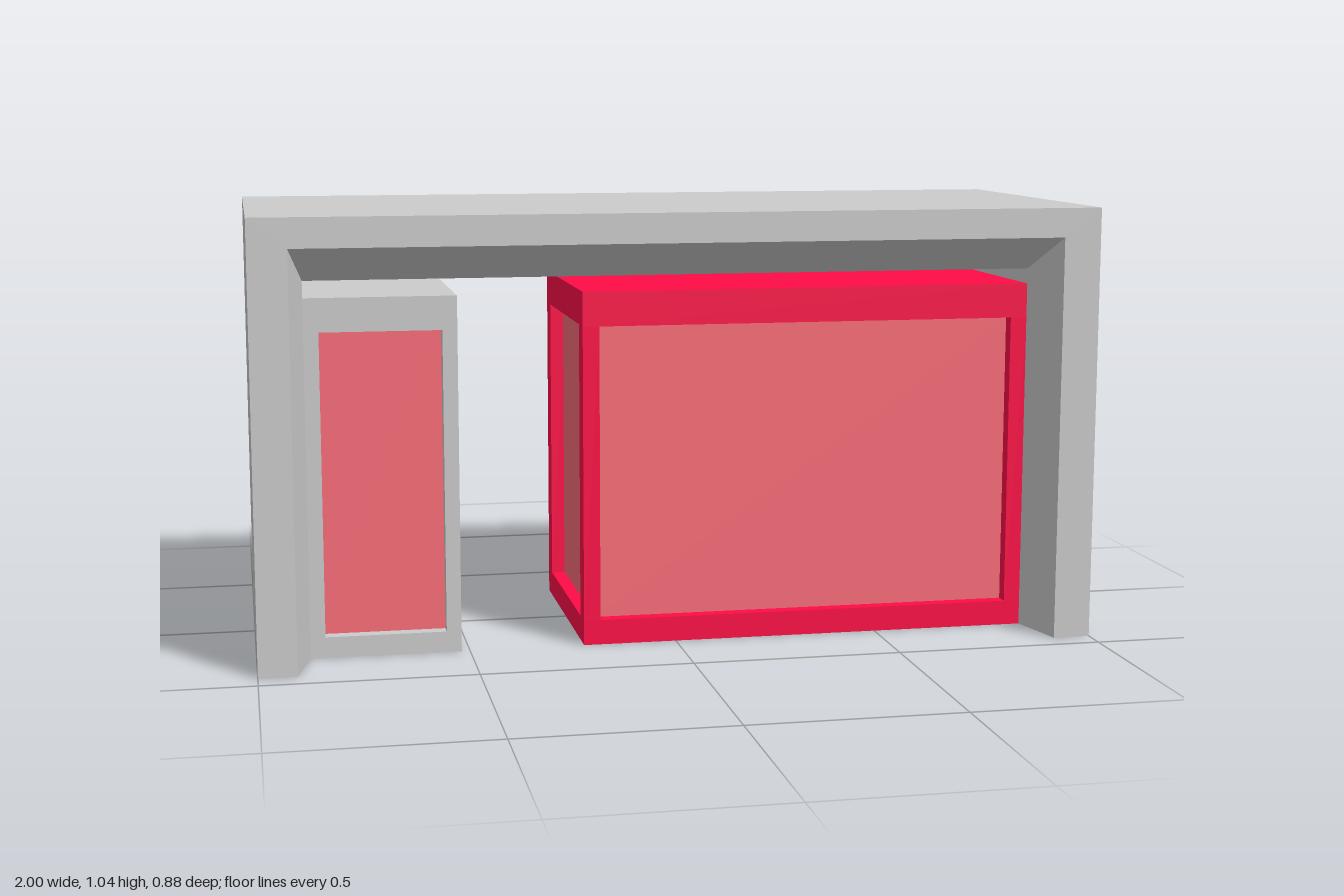
import * as THREE from 'three';

const grey = new THREE.MeshStandardMaterial({ color: 0xcccccc });
const red = new THREE.MeshStandardMaterial({ color: 0xff0c47 });
const pink = new THREE.MeshStandardMaterial({ color: 0xfb6d79 });

// Box given by its min and max corners
function box(name, material, [x0, y0, z0], [x1, y1, z1]) {
  const mesh = new THREE.Mesh(new THREE.BoxGeometry(x1 - x0, y1 - y0, z1 - z0), material);
  mesh.name = name;
  mesh.position.set((x0 + x1) / 2, (y0 + y1) / 2, (z0 + z1) / 2);
  return mesh;
}

// Arch-shaped shell: a closed loop of arch outlines, flared at both openings
function shellGeometry() {
  // half width, height, z
  const sections = [
    [1, 1.045, 0.44], [0.91, 0.975, 0.44], [0.875, 0.89, 0.29],
    [0.875, 0.89, -0.29], [0.91, 0.975, -0.44], [1, 1.045, -0.44],
  ].map(([w, h, z]) => [[-w, 0, z], [-w, h, z], [w, h, z], [w, 0, z]]);
  const pos = [];
  const tri = (a, b, c) => pos.push(...a, ...b, ...c);
  sections.forEach((s, i) => {
    const t = sections[(i + 1) % sections.length];
    for (let j = 0; j < 3; j++) {
      tri(s[j], t[j], t[j + 1]);
      tri(s[j], t[j + 1], s[j + 1]);
    }
  });
  // Undersides of the two walls
  for (let i = 1; i < sections.length - 1; i++) {
    tri(sections[0][0], sections[i + 1][0], sections[i][0]);
    tri(sections[0][3], sections[i][3], sections[i + 1][3]);
  }
  const geo = new THREE.BufferGeometry();
  geo.setAttribute('position', new THREE.Float32BufferAttribute(pos, 3));
  geo.computeVertexNormals();
  return geo;
}

// Framed block with recessed panels between base, top and corner posts
function pedestal(name, material, x0, x1, height, base, postX) {
  const group = new THREE.Group();
  group.name = name;
  const d = 0.29, top = 0.77, postZ = 0.055, recess = 0.033;
  group.add(
    box('base', material, [x0, 0, -d], [x1, base, d]),
    box('top', material, [x0, top, -d], [x1, height, d]),
    box('recessedPanels', pink, [x0 + recess, base, -d + recess], [x1 - recess, top, d - recess]),
  );
  for (const px of [x0, x1 - postX]) {
    for (const pz of [-d, d - postZ]) {
      group.add(box('cornerPost', material, [px, base, pz], [px + postX, top, pz + postZ]));
    }
  }
  return group;
}

export function createModel() {
  const model = new THREE.Group();
  model.name = 'desk';
  const shell = new THREE.Mesh(shellGeometry(), grey);
  shell.name = 'shell';
  model.add(
    shell,
    pedestal('narrowPedestal', grey, -0.875, -0.52, 0.85, 0.05, 0.035),
    pedestal('widePedestal', red, -0.225, 0.875, 0.853, 0.06, 0.04),
  );
  return model;
}
